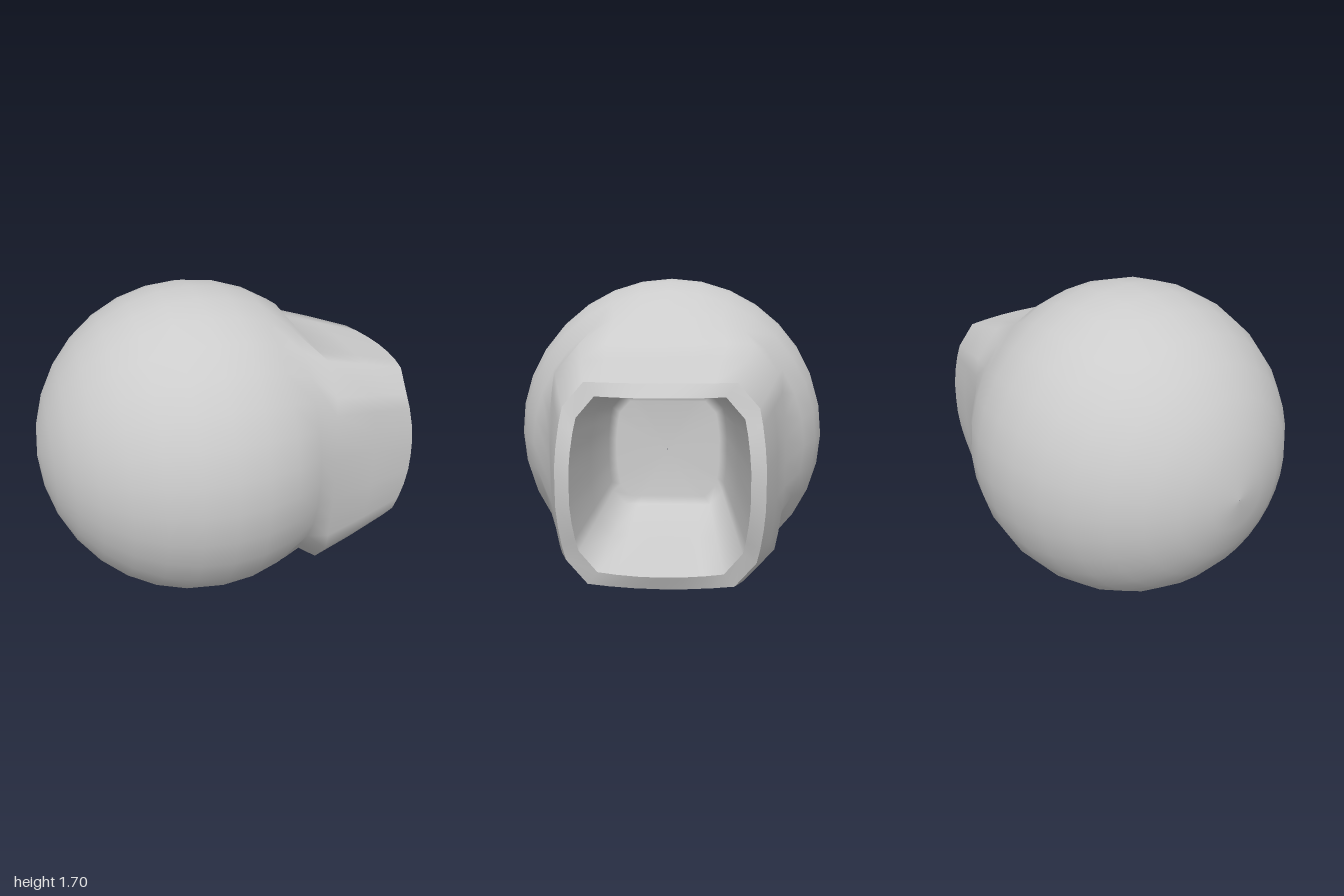
import * as THREE from 'three';

const N = 32; // points around every ring
const CX = -0.15, CY = 0.855, R = 0.85;

// One quadrant of the chamfered square section, as [z, y], half size 1
const QUAD = [[1, 0], [1, 0.2], [0.985, 0.4], [0.96, 0.6], [0.93, 0.76],
  [0.72, 1], [0.5, 1], [0.25, 1], [0, 1]];

// Round ring on the ball, at an angle from the rear pole
function ballRing(angle) {
  const r = R * Math.sin(angle);
  return Array.from({ length: N }, (_, j) => {
    const a = j / N * Math.PI * 2;
    return [CX - R * Math.cos(angle), CY + r * Math.sin(a), r * Math.cos(a)];
  });
}

// Chamfered square ring; bow pulls the corners back along x
function squareRing(x, cy, halfZ, halfY, bow = 0) {
  return Array.from({ length: N }, (_, j) => {
    const q = Math.floor(j / 8), k = j % 8;
    const [z, y] = QUAD[q % 2 ? 8 - k : k];
    const sz = q === 1 || q === 2 ? -1 : 1, sy = q < 2 ? 1 : -1;
    return [x - bow * Math.min(z, y) ** 2, cy + sy * y * halfY, sz * z * halfZ];
  });
}

// Smooth skin over a row of rings
function loft(name, rings, material) {
  const index = [];
  for (let i = 0; i < rings.length - 1; i++) {
    for (let j = 0; j < N; j++) {
      const a = i * N + j, b = i * N + (j + 1) % N;
      index.push(a, a + N, b, b, a + N, b + N);
    }
  }
  const g = new THREE.BufferGeometry();
  g.setAttribute('position', new THREE.Float32BufferAttribute(rings.flat(2), 3));
  g.setIndex(index);
  g.computeVertexNormals();
  const mesh = new THREE.Mesh(g, material);
  mesh.name = name;
  return mesh;
}

export function createModel() {
  const grey = new THREE.MeshStandardMaterial({ color: 0xcccccc });
  grey.name = 'grey';
  const group = new THREE.Group();
  group.name = 'hollowBall';

  // Ball, running on into the square neck
  const body = [];
  for (let i = 0; i <= 11; i++) body.push(ballRing(Math.max(i, 0.01) * Math.PI / 16));
  // Small shelf under the root of the neck
  for (const p of body[11]) if (p[1] < CY && Math.abs(p[2]) < 0.28) p[1] = 0.08;
  const outerRim = squareRing(0.965, 0.79, 0.47, 0.47, 0.09);
  const innerRim = squareRing(1, 0.795, 0.4, 0.405, 0.1);
  body.push(squareRing(0.45, 0.79, 0.6, 0.6), squareRing(0.7, 0.79, 0.54, 0.54, 0.04), outerRim);
  group.add(loft('ballAndNeck', body, grey));

  // Bevelled lip of the opening
  group.add(loft('rim', [outerRim, innerRim], grey));

  // Tapered socket with a closed back
  group.add(loft('socket', [
    innerRim,
    squareRing(0.65, 0.81, 0.355, 0.35, 0.02),
    squareRing(0.32, 0.825, 0.31, 0.295),
    squareRing(0.3, 0.825, 0.27, 0.255),
    squareRing(0.3, 0.825, 0.002, 0.002),
  ], grey));
  return group;
}
